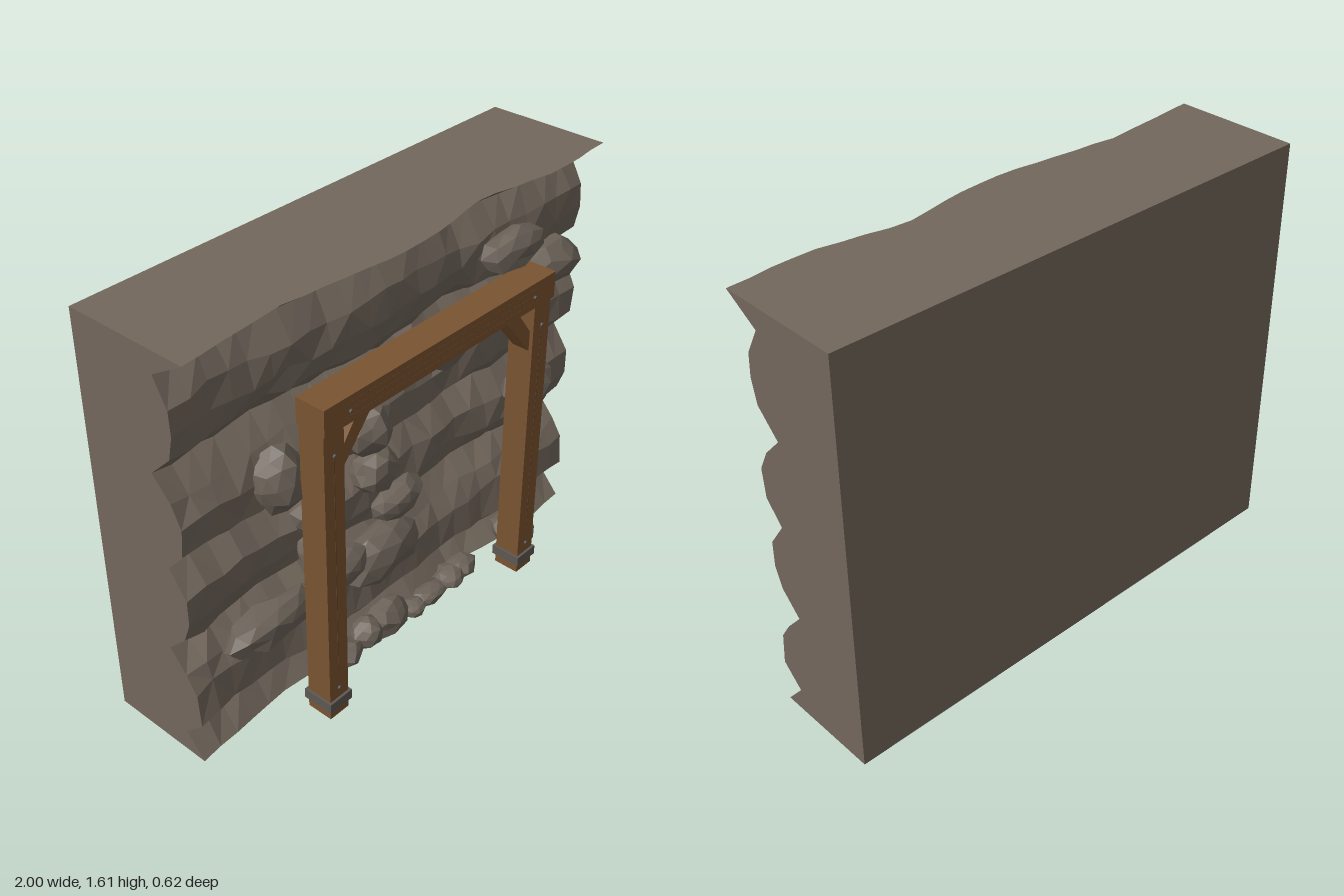
import * as THREE from 'three';
import { mergeGeometries } from 'three/addons/utils/BufferGeometryUtils.js';

const mat = (name, color) => new THREE.MeshStandardMaterial({ name, color });

// Small seeded random in -1..1
function seeded(seed) {
  let s = seed * 7919 + 17;
  return () => {
    s = (s * 16807) % 2147483647;
    return (s / 2147483647) * 2 - 1;
  };
}

function facet(geometry) {
  const g = geometry.index ? geometry.toNonIndexed() : geometry;
  g.deleteAttribute('uv');
  g.computeVertexNormals();
  return g;
}

// Cliff face from bottom to top: [y, z]
const PROFILE = [
  [0, 0.11], [0.09, 0.03], [0.17, 0.115], [0.3, 0.105], [0.37, 0.06],
  [0.45, -0.01], [0.53, 0.07], [0.61, 0.1], [0.71, 0.1], [0.81, 0.03],
  [0.89, 0.1], [1.0, 0.11], [1.08, 0.07], [1.16, -0.005], [1.25, 0.085],
  [1.34, 0.105], [1.43, 0.1], [1.53, 0.045], [1.613, 0.18],
];
// Bulge of the ledge along x
const WAVE = [[-1, 0], [-0.6, -0.035], [-0.35, -0.01], [-0.1, 0.018], [0.15, 0], [0.35, -0.04], [0.7, 0.02], [1, 0]];

function wave(x) {
  for (let i = 1; i < WAVE.length; i++) {
    const [x0, z0] = WAVE[i - 1], [x1, z1] = WAVE[i];
    if (x <= x1) return z0 + (z1 - z0) * (x - x0) / (x1 - x0);
  }
  return 0;
}

function cliffGeometry() {
  const rand = seeded(5), columns = 24, back = -0.31, top = PROFILE.length - 1;
  const rings = [];
  for (let i = 0; i <= columns; i++) {
    const x = -1 + 2 * i / columns;
    const inner = i > 0 && i < columns ? 1 : 0;
    const ring = PROFILE.map(([y, z], j) => {
      const edge = j === 0 || j === top;
      const dy = edge ? 0 : inner * (0.012 * Math.sin(x * 7 + j * 0.9) + 0.01 * rand());
      const dz = wave(x) * (edge ? 1 : 0.5) + (edge ? 0.003 : 0.012) * inner * rand();
      return [x, y + dy, z + dz];
    });
    ring.push([x, PROFILE[top][0], back], [x, 0, back]);
    rings.push(ring);
  }
  // Loft the cross-sections
  const n = rings[0].length, pos = [];
  for (let i = 0; i < columns; i++) {
    for (let j = 0; j < n; j++) {
      const k = (j + 1) % n;
      const a = rings[i][j], b = rings[i + 1][j], c = rings[i + 1][k], d = rings[i][k];
      if ((i + j) % 3) pos.push(...a, ...b, ...c, ...a, ...c, ...d);
      else pos.push(...a, ...b, ...d, ...b, ...c, ...d);
    }
  }
  const skin = new THREE.BufferGeometry();
  skin.setAttribute('position', new THREE.Float32BufferAttribute(pos, 3));
  skin.computeVertexNormals();
  // Flat end caps
  const caps = [-1, 1].map((side) => {
    const ring = rings[side < 0 ? 0 : columns];
    const shape = new THREE.Shape(ring.map(([, y, z]) => new THREE.Vector2(-side * z, y)));
    return facet(new THREE.ShapeGeometry(shape).rotateY(side * Math.PI / 2).translate(side, 0, 0));
  });
  return mergeGeometries([skin, ...caps]);
}

// Faceted boulder filling a w x h x d box
function rockGeometry(w, h, d, seed) {
  const g = new THREE.IcosahedronGeometry(1, 1);
  const rand = seeded(seed), p = g.attributes.position, seen = new Map();
  const v = new THREE.Vector3();
  for (let i = 0; i < p.count; i++) {
    v.fromBufferAttribute(p, i);
    const key = [v.x, v.y, v.z].map((c) => Math.round(c * 100)).join();
    if (!seen.has(key)) seen.set(key, 0.99 + 0.13 * rand());
    v.multiplyScalar(seen.get(key));
    p.setXYZ(i, v.x, v.y, v.z);
  }
  g.rotateZ(seed * 1.3).rotateY(seed * 0.7);
  g.scale(w / 2, h / 2, d / 2);
  return facet(g);
}

// Rocks: x, y, z, width, height, depth
const WALL_ROCKS = [
  [0.555, 1.355, 0.135, 0.32, 0.16, 0.15], [0.76, 1.21, 0.125, 0.35, 0.16, 0.19],
  [0.19, 1.125, 0.12, 0.27, 0.19, 0.16], [-0.18, 0.955, 0.12, 0.21, 0.19, 0.15],
  [-0.595, 0.965, 0.11, 0.19, 0.24, 0.17], [-0.15, 0.77, 0.12, 0.19, 0.16, 0.15],
  [-0.45, 0.76, 0.12, 0.18, 0.18, 0.15], [-0.44, 0.61, 0.12, 0.17, 0.14, 0.14],
  [0.695, 0.71, 0.13, 0.25, 0.22, 0.17], [-0.04, 0.59, 0.12, 0.24, 0.14, 0.14],
  [-0.67, 0.42, 0.12, 0.4, 0.14, 0.16], [-0.34, 0.43, 0.11, 0.3, 0.13, 0.15],
  [-0.11, 0.38, 0.115, 0.36, 0.22, 0.16],
];
const GROUND_ROCKS = [
  [-0.33, 0.05, 0.14, 0.14, 0.09, 0.12], [-0.22, 0.07, 0.14, 0.13, 0.13, 0.13],
  [-0.12, 0.075, 0.14, 0.23, 0.13, 0.13], [0.03, 0.035, 0.15, 0.11, 0.06, 0.1],
  [0.13, 0.037, 0.15, 0.17, 0.06, 0.1], [0.24, 0.05, 0.15, 0.12, 0.09, 0.12],
  [0.32, 0.05, 0.14, 0.16, 0.08, 0.12], [0.62, 0.07, 0.165, 0.15, 0.13, 0.19],
];

export function createModel() {
  const model = new THREE.Group();
  model.name = 'timberFrameOnCliff';
  const stone = mat('cliff stone', 0x72675c);
  const rock = mat('boulder stone', 0x6b6258);
  const wood = mat('timber', 0x7a5430);
  const grain = mat('dark timber grain', 0x694728);
  const iron = mat('iron', 0x5c5853);

  const add = (name, geometry, material, x = 0, y = 0, z = 0) => {
    const mesh = new THREE.Mesh(geometry, material);
    mesh.name = name;
    mesh.position.set(x, y, z);
    model.add(mesh);
    return mesh;
  };
  const box = (name, material, w, h, d, x, y, z) =>
    add(name, new THREE.BoxGeometry(w, h, d), material, x, y, z);
  const bolt = (x, y, z) =>
    add('bolt', new THREE.CylinderGeometry(0.007, 0.007, 0.012, 8).rotateX(Math.PI / 2), iron, x, y, z);

  add('cliff', cliffGeometry(), stone);
  WALL_ROCKS.forEach(([x, y, z, w, h, d], i) => add('wallRock', rockGeometry(w, h, d, i + 3), rock, x, y, z));
  GROUND_ROCKS.forEach(([x, y, z, w, h, d], i) => {
    const mesh = add('groundRock', rockGeometry(w, h, d, i + 31), rock, x, y, z);
    mesh.geometry.computeBoundingBox();
    mesh.position.y = Math.max(y, -mesh.geometry.boundingBox.min.y);
  });

  // Timber frame
  box('lintel', wood, 1.16, 0.1, 0.12, 0, 1.26, 0.245);
  for (const y of [1.235, 1.26, 1.285]) box('lintelGrain', grain, 0.96, 0.002, 0.002, 0, y, 0.305);
  for (const side of [-1, 1]) {
    const x = side * 0.53;
    box('post', wood, 0.09, 1.21, 0.105, x, 0.605, 0.2425);
    box('postGrain', grain, 0.004, 0.9, 0.002, x, 0.66, 0.295);
    box('postCollar', iron, 0.108, 0.04, 0.125, x, 0.06, 0.2425);
    bolt(x, 1.115, 0.297);
    bolt(x, 0.125, 0.297);
    bolt(side * 0.465, 1.255, 0.307);

    // Diagonal brace in the corner
    const corners = [[0.485, 1.1], [0.485, 1.02], [0.33, 1.21], [0.405, 1.21]];
    const shape = new THREE.Shape(corners.map(([u, v]) => new THREE.Vector2(side * u, v)));
    add('brace', facet(new THREE.ExtrudeGeometry(shape, { depth: 0.07, bevelEnabled: false })), wood, 0, 0, 0.21);
  }
  return model;
}
